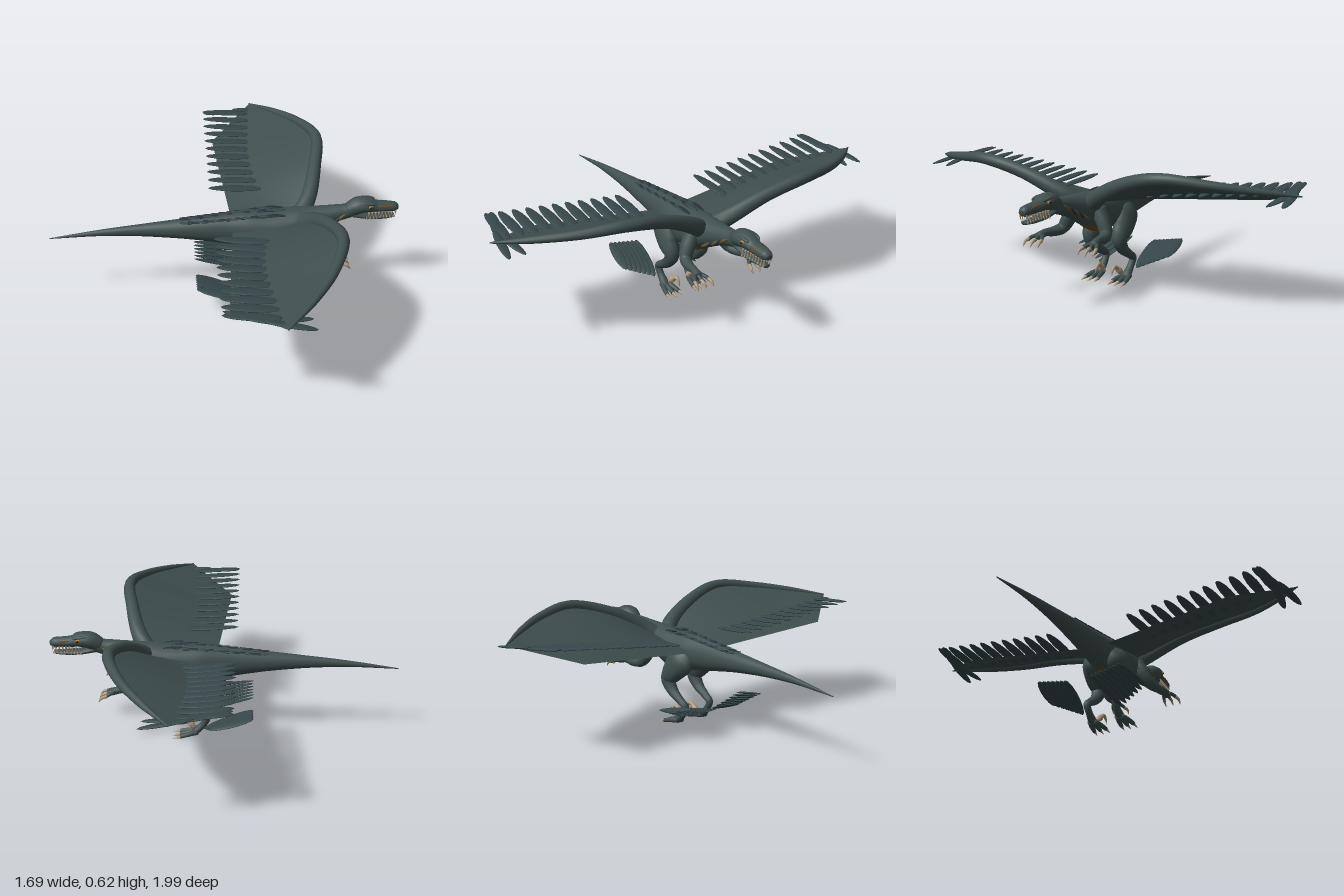
import * as THREE from 'three';

const V = (x, y, z) => new THREE.Vector3(x, y, z);
const paint = (name, color, side = THREE.FrontSide) => {
  const m = new THREE.MeshStandardMaterial({ color, side });
  m.name = name;
  return m;
};

export function createModel() {
  const model = new THREE.Group();
  const hide = paint('slate hide', 0x40504f);
  const web = paint('wing web', 0x3f4f4e, THREE.DoubleSide);
  const plume = paint('plume', 0x36474a);
  const navy = paint('dark plume', 0x26323a);
  const bronze = paint('bronze', 0x66502c);
  const horn = paint('horn', 0xb39c82);
  const amber = paint('amber', 0xb07a24);
  const black = paint('black', 0x14171a);

  const add = (name, geo, mat) => {
    const m = new THREE.Mesh(geo, mat);
    m.name = name;
    model.add(m);
    return m;
  };

  // Smooth tube through stations [x, y, z, radius, side radius]; 'ref' is the side direction
  function loft(name, stations, mat, ref = V(0, 0, 1), sides = 16, per = 5) {
    const path = new THREE.CatmullRomCurve3(stations.map(s => V(s[0], s[1], s[2])));
    const size = new THREE.CatmullRomCurve3(stations.map(s => V(s[3], s[4] ?? s[3], 0)));
    const n = (stations.length - 1) * per, pos = [], idx = [];
    for (let i = -1; i <= n + 1; i++) {
      const t = Math.min(Math.max(i / n, 0), 1);
      const p = path.getPoint(t), T = path.getTangent(t);
      const r = i < 0 || i > n ? V(0, 0, 0) : size.getPoint(t);
      const S = ref.clone().addScaledVector(T, -ref.dot(T)).normalize();
      const U = T.clone().cross(S);
      for (let j = 0; j < sides; j++) {
        const a = (j / sides) * Math.PI * 2;
        const q = p.clone().addScaledVector(S, Math.cos(a) * r.y).addScaledVector(U, Math.sin(a) * r.x);
        pos.push(q.x, q.y, q.z);
        if (i <= n) {
          const k = (i + 1) * sides, a0 = k + j, b0 = k + (j + 1) % sides;
          idx.push(a0, b0, a0 + sides, b0, b0 + sides, a0 + sides);
        }
      }
    }
    const g = new THREE.BufferGeometry();
    g.setAttribute('position', new THREE.Float32BufferAttribute(pos, 3));
    g.setIndex(idx);
    g.computeVertexNormals();
    return add(name, g, mat);
  }

  // Flat ellipsoid between two points
  const ball = new THREE.SphereGeometry(1, 14, 10);
  function feather(name, root, tip, width, thick, mat, ref = V(0, 0, 1)) {
    const d = tip.clone().sub(root), len = d.length();
    d.normalize();
    const S = ref.clone().addScaledVector(d, -ref.dot(d)).normalize();
    const m = add(name, ball, mat);
    m.quaternion.setFromRotationMatrix(new THREE.Matrix4().makeBasis(d, S.clone().cross(d), S));
    m.position.copy(root).lerp(tip, 0.5);
    m.scale.set(len / 2, thick / 2, width / 2);
  }

  // Cone from base to tip
  function spike(name, base, tip, r, mat = horn) {
    const d = tip.clone().sub(base);
    const m = add(name, new THREE.ConeGeometry(r, d.length(), 7), mat);
    m.position.copy(base).lerp(tip, 0.5);
    m.quaternion.setFromUnitVectors(V(0, 1, 0), d.normalize());
  }

  // Tail, trunk and neck
  loft('body', [
    [-0.845, 0.345, 0, 0.002], [-0.6, 0.368, 0, 0.016, 0.014], [-0.4, 0.376, 0, 0.031, 0.027],
    [-0.2, 0.377, 0, 0.051, 0.045], [0, 0.373, 0, 0.078, 0.062], [0.12, 0.37, 0, 0.092, 0.08],
    [0.25, 0.367, 0, 0.096, 0.09], [0.36, 0.39, 0, 0.082, 0.082], [0.45, 0.415, 0, 0.06, 0.058],
    [0.53, 0.435, 0, 0.045, 0.042], [0.6, 0.449, 0, 0.037, 0.035], [0.65, 0.468, 0, 0.036, 0.036],
  ], hide, V(0, 0, 1), 24);
  loft('belly', [[0, 0.325, 0, 0.025, 0.02], [0.14, 0.316, 0, 0.043, 0.04],
    [0.28, 0.31, 0, 0.043, 0.052], [0.36, 0.336, 0, 0.036, 0.045], [0.43, 0.368, 0, 0.02, 0.03]], bronze);

  // Head
  loft('skull', [[0.6, 0.452, 0, 0.034, 0.034], [0.65, 0.478, 0, 0.041, 0.047], [0.69, 0.482, 0, 0.037, 0.047],
    [0.74, 0.472, 0, 0.027, 0.035], [0.79, 0.468, 0, 0.025, 0.031], [0.825, 0.466, 0, 0.024, 0.027],
    [0.845, 0.462, 0, 0.012, 0.016]], hide);
  loft('lowerJaw', [[0.62, 0.437, 0, 0.018, 0.03], [0.7, 0.42, 0, 0.013, 0.032],
    [0.78, 0.415, 0, 0.011, 0.026], [0.83, 0.416, 0, 0.008, 0.016]], hide);

  // Ridge plumes down the back
  for (let i = 0; i < 12; i++) {
    const x = 0.3 - i * 0.038;
    const top = 0.466 - i * 0.0035;
    for (const k of [-1, 0, 1]) {
      const z = k * (0.036 - i * 0.0015);
      feather('backPlume', V(x, top - Math.abs(k) * 0.012, z),
        V(x - 0.1, top + 0.004 - Math.abs(k) * 0.008, z * 1.1), 0.024, 0.008, (i + k) % 2 ? navy : plume);
    }
  }

  for (const s of [1, -1]) {
    const P = (x, y, z) => V(x, y, z * s);
    const limb = (name, pts, mat = hide, ref, sides = 12) =>
      loft(name, pts.map(([x, y, z, a, b]) => [x, y, z * s, a, b]), mat, ref, sides);

    // Face
    feather('eye', P(0.692, 0.488, 0.042), P(0.716, 0.486, 0.036), 0.018, 0.018, amber);
    feather('pupil', P(0.7, 0.488, 0.049), P(0.711, 0.487, 0.046), 0.008, 0.01, black);
    feather('brow', P(0.66, 0.506, 0.032), P(0.735, 0.497, 0.03), 0.022, 0.016, hide);
    feather('snoutStripe', P(0.74, 0.483, 0.029), P(0.815, 0.477, 0.024), 0.008, 0.012, bronze);
    feather('nostril', P(0.82, 0.472, 0.024), P(0.832, 0.47, 0.021), 0.006, 0.006, black);
    for (let i = 0; i < 9; i++) {
      const x = 0.7 + i * 0.0165, z = 0.033 - i * 0.0019;
      spike('upperTooth', P(x, 0.452, z), P(x, 0.425, z), 0.0055);
      spike('lowerTooth', P(x - 0.008, 0.414, z - 0.002), P(x - 0.008, 0.436, z - 0.002), 0.005);
    }

    // Neck and shoulder plumes
    for (let i = 0; i < 5; i++) {
      feather('neckPlume', P(0.59 - i * 0.022, 0.452 - i * 0.012, 0.035 + i * 0.005),
        P(0.52 - i * 0.02, 0.405 - i * 0.011, 0.05 + i * 0.006), 0.012, 0.016, i % 2 ? navy : bronze);
    }
    feather('shoulderPlume', P(0.38, 0.395, 0.083), P(0.31, 0.35, 0.092), 0.01, 0.014, bronze);

    // Arm, hand and claws
    limb('arm', [[0.36, 0.395, 0.06, 0.04], [0.365, 0.34, 0.095, 0.04, 0.034], [0.385, 0.29, 0.12, 0.029],
      [0.43, 0.28, 0.135, 0.024], [0.49, 0.284, 0.145, 0.018], [0.535, 0.275, 0.15, 0.018, 0.022]]);
    for (const k of [-1, 0, 1]) {
      limb('finger', [[0.52, 0.278, 0.15 + k * 0.012, 0.01], [0.545, 0.272, 0.15 + k * 0.028, 0.009],
        [0.565, 0.262, 0.15 + k * 0.036, 0.008]], hide, undefined, 8);
      limb('fingerClaw', [[0.555, 0.266, 0.15 + k * 0.033, 0.009], [0.58, 0.258, 0.15 + k * 0.04, 0.007],
        [0.597, 0.237, 0.15 + k * 0.04, 0.001]], horn, undefined, 8);
    }

    // Leg
    limb('leg', [[0.1, 0.375, 0.045, 0.05, 0.03], [0.13, 0.33, 0.066, 0.078, 0.05], [0.175, 0.275, 0.08, 0.064, 0.045],
      [0.213, 0.225, 0.083, 0.04, 0.036], [0.18, 0.17, 0.082, 0.028], [0.12, 0.13, 0.08, 0.02],
      [0.085, 0.105, 0.078, 0.018], [0.1, 0.07, 0.076, 0.017], [0.135, 0.035, 0.076, 0.018, 0.022],
      [0.155, 0.02, 0.076, 0.014, 0.022]]);
    for (const k of [-1, 0, 1]) {
      limb('toe', [[0.13, 0.028, 0.076 + k * 0.01, 0.014], [0.175, 0.022, 0.076 + k * 0.025, 0.012],
        [0.215, 0.013, 0.076 + k * 0.033, 0.01]], hide, undefined, 8);
      spike('toeClaw', P(0.212, 0.013, 0.076 + k * 0.033), P(0.255, 0.003, 0.076 + k * 0.037), 0.009);
    }
    limb('sickleClaw', [[0.145, 0.035, 0.052, 0.011], [0.175, 0.066, 0.048, 0.011], [0.2, 0.08, 0.046, 0.009],
      [0.217, 0.066, 0.046, 0.006], [0.224, 0.042, 0.046, 0.001]], horn, undefined, 8);

    // Leg plumes, outermost highest
    for (let i = 0; i < 7; i++) {
      const f = i / 6;
      feather('legPlume', P(0.1 - f * 0.03, 0.06 + f * 0.065, 0.11 + f * 0.14),
        P(-0.145, 0.145 + f * 0.025, 0.07 + f * 0.145), 0.05, 0.012, plume, P(0, -0.25, 1));
    }

    // Wing bone
    const bone = [[0.37, 0.41, 0.03], [0.42, 0.465, 0.1], [0.47, 0.55, 0.27], [0.5, 0.6, 0.47],
      [0.43, 0.582, 0.68], [0.32, 0.556, 0.85], [0.2, 0.53, 0.995]];
    const girth = [0.045, 0.04, 0.032, 0.028, 0.022, 0.016, 0.003];
    limb('wingBone', bone.map((p, i) => [...p, girth[i]]), hide, V(0, 1, 0));

    // Wing web from bone to angular trailing edge
    const lead = new THREE.CatmullRomCurve3(bone.map(p => P(...p)));
    const root = P(0.04, 0.385, 0.05), corner = P(-0.02, 0.445, 0.73), tip = P(0.2, 0.53, 0.995);
    const rows = 30, cols = 8, pos = [], idx = [];
    for (let i = 0; i <= rows; i++) {
      const v = i / rows, a = lead.getPoint(v);
      const b = v < 0.7 ? root.clone().lerp(corner, v / 0.7) : corner.clone().lerp(tip, (v - 0.7) / 0.3);
      for (let j = 0; j <= cols; j++) {
        const q = a.clone().lerp(b, j / cols);
        pos.push(q.x, q.y, q.z);
        if (i < rows && j < cols) {
          const k = i * (cols + 1) + j, m = k + cols + 1;
          if (s > 0) idx.push(k, k + 1, m, k + 1, m + 1, m);
          else idx.push(k, m, k + 1, k + 1, m, m + 1);
        }
      }
    }
    const g = new THREE.BufferGeometry();
    g.setAttribute('position', new THREE.Float32BufferAttribute(pos, 3));
    g.setIndex(idx);
    g.computeVertexNormals();
    add('wingWeb', g, web);

    // Flight plumes
    for (let i = 0; i < 11; i++) {
      const z = 0.24 + i * 0.066, y = 0.448 + i * 0.0075;
      feather('flightPlume', P(0.22 - i * 0.003, y - 0.005, z), P(-0.065, y + 0.015, z - 0.015 + i * 0.001),
        0.055, 0.014, plume);
    }
    feather('tipPlume', P(0.33, 0.5, 0.965), P(0.1, 0.53, 0.93), 0.042, 0.014, plume);
    feather('tipPlume', P(0.32, 0.495, 0.885), P(0.08, 0.525, 0.92), 0.042, 0.014, plume);
    feather('tipPlume', P(0.18, 0.515, 0.935), P(-0.06, 0.54, 0.87), 0.05, 0.014, plume);
  }
  return model;
}
